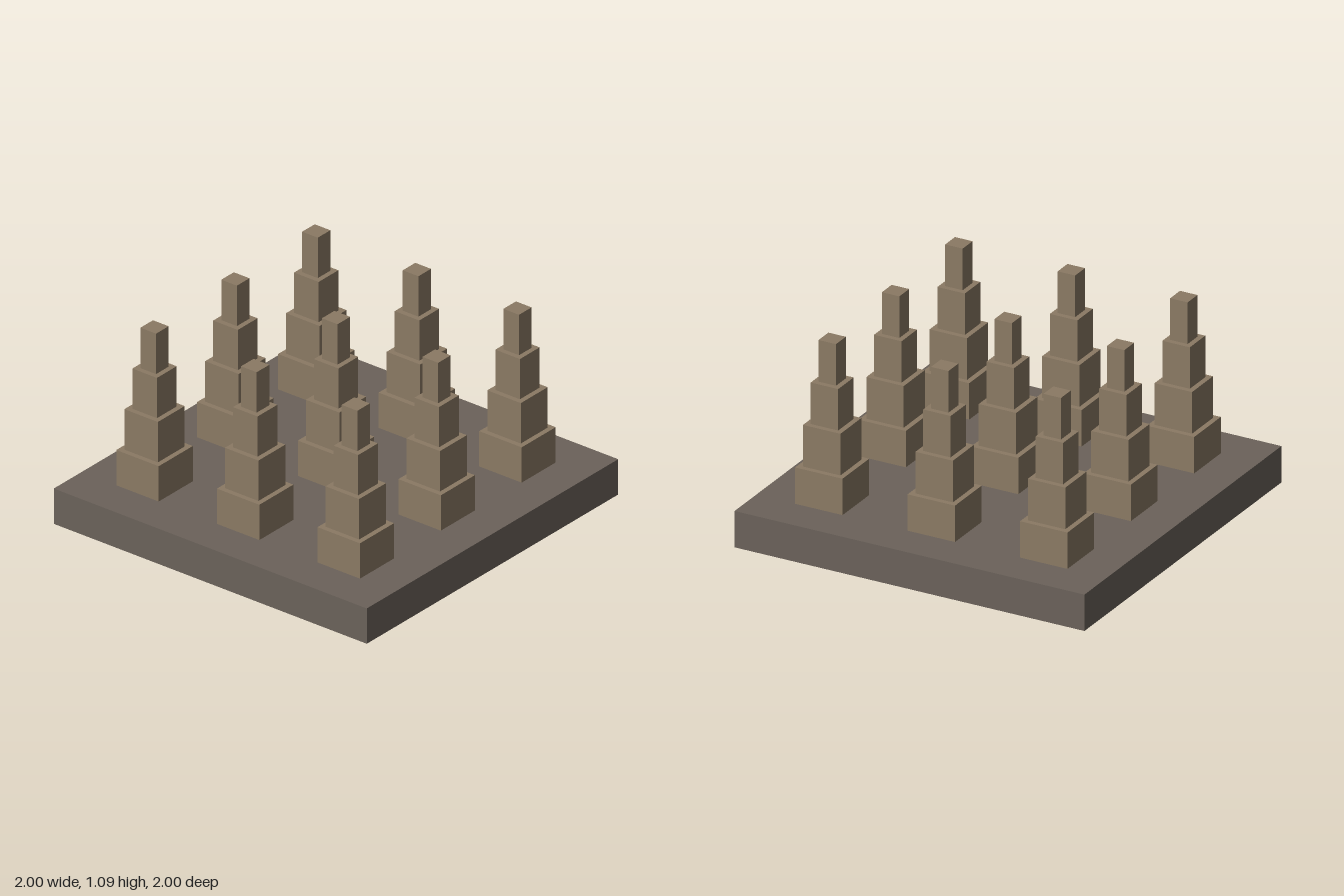
import * as THREE from 'three';

export function createModel() {
  const model = new THREE.Group();
  const baseMaterial = new THREE.MeshStandardMaterial({ color: 0x6b625a });
  const towerMaterial = new THREE.MeshStandardMaterial({ color: 0x8b7a64 });

  // Square slab
  const baseHeight = 0.2;
  const base = new THREE.Mesh(new THREE.BoxGeometry(2, baseHeight, 2), baseMaterial);
  base.name = 'base';
  base.position.y = baseHeight / 2;
  model.add(base);

  // Four stacked blocks per tower, each narrower than the one below
  const widths = [0.271, 0.214, 0.157, 0.1];
  const levels = [baseHeight, 0.4, 0.629, 0.857, 1.086];
  const tierGeometries = widths.map((w, i) => {
    const h = levels[i + 1] - levels[i];
    return new THREE.BoxGeometry(w, h, w).translate(0, levels[i] + h / 2, 0);
  });

  function createTower() {
    const tower = new THREE.Group();
    tower.name = 'steppedTower';
    tierGeometries.forEach((geometry, i) => {
      const tier = new THREE.Mesh(geometry, towerMaterial);
      tier.name = `towerTier${i + 1}`;
      tower.add(tier);
    });
    return tower;
  }

  // Three by three grid of towers
  const spacing = 0.643;
  for (const row of [-1, 0, 1]) {
    for (const column of [-1, 0, 1]) {
      const tower = createTower();
      tower.position.set(column * spacing, 0, row * spacing);
      model.add(tower);
    }
  }
  return model;
}
